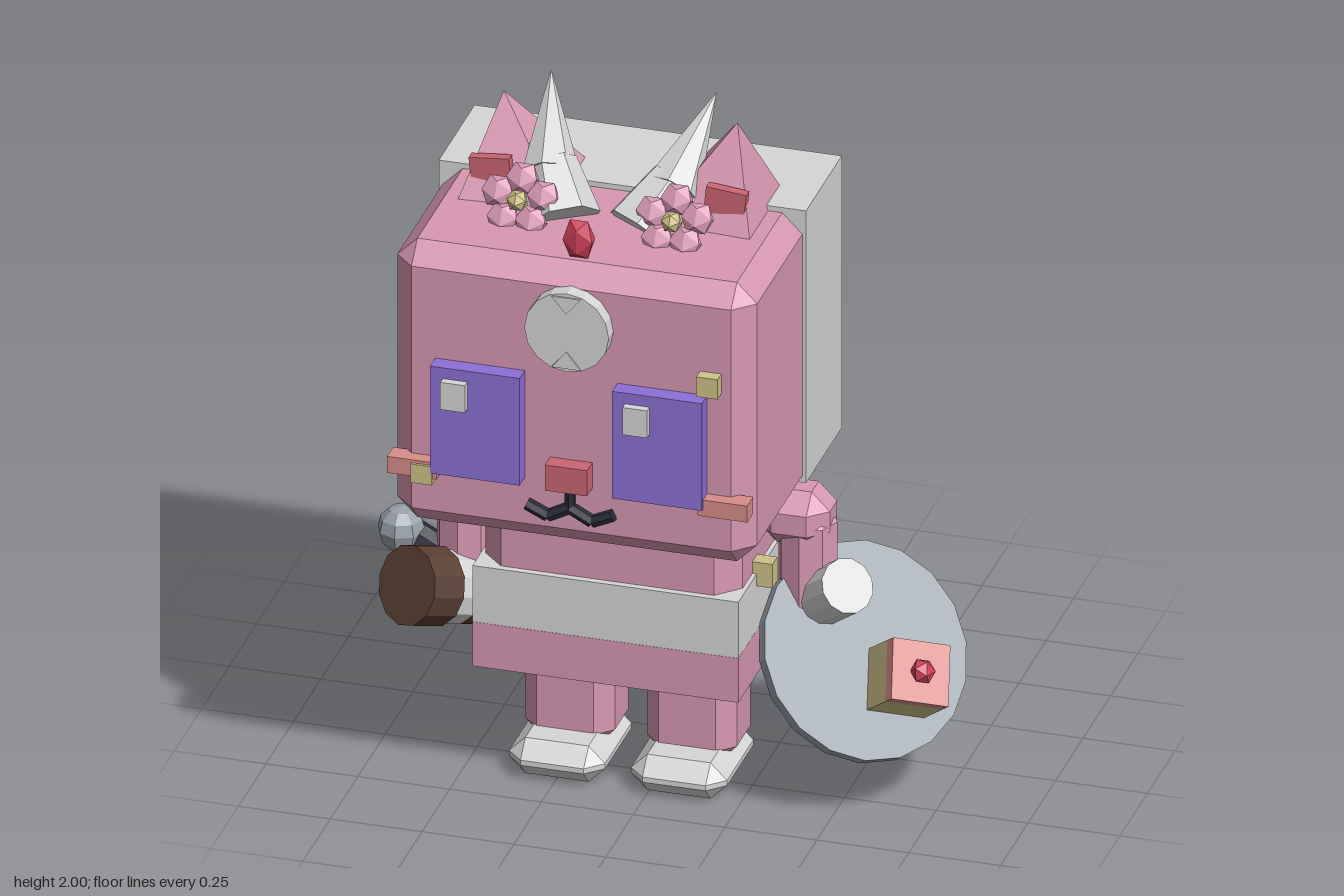
import * as THREE from 'three';
import { ConvexGeometry } from 'three/addons/geometries/ConvexGeometry.js';

const mat = (name, color) => {
  const m = new THREE.MeshStandardMaterial({ color, flatShading: true });
  m.name = name;
  return m;
};
const V = (x, y, z) => new THREE.Vector3(x, y, z);

export function createModel() {
  const pink = mat('pink', 0xd898b3), grey = mat('lightGrey', 0xd6d6d6), purple = mat('purple', 0x8d70d6);
  const salmon = mat('salmon', 0xd88e8a), red = mat('red', 0xce4058), yellow = mat('yellow', 0xcfc288);
  const steel = mat('steel', 0x98a0aa), black = mat('black', 0x2a2b3a), brown = mat('brown', 0x5a4034);
  const rose = mat('rose', 0xcc6672);

  const model = new THREE.Group();
  model.name = 'hornedCatFigure';
  // all parts are laid out around the body's own middle plane
  const root = new THREE.Group();
  root.name = 'figure';
  root.position.x = -0.085;
  model.add(root);

  const add = (name, geo, m, p = [0, 0, 0], parent = root) => {
    const mesh = new THREE.Mesh(geo, m);
    mesh.name = name;
    mesh.position.set(...p);
    parent.add(mesh);
    return mesh;
  };
  const box = (name, m, p, s, parent) => add(name, new THREE.BoxGeometry(...s), m, p, parent);

  // box with every edge cut at an angle
  const chamfer = (name, m, p, s, c, parent) => {
    const [x, y, z] = s.map(v => v / 2), pts = [];
    for (const i of [-1, 1]) for (const j of [-1, 1]) for (const k of [-1, 1])
      pts.push(V(i * x, j * (y - c), k * (z - c)), V(i * (x - c), j * y, k * (z - c)), V(i * (x - c), j * (y - c), k * z));
    return add(name, new ConvexGeometry(pts), m, p, parent);
  };

  // aligns a y-axis geometry from a to b
  const span = (name, make, m, a, b) => {
    const A = V(...a), B = V(...b), d = B.clone().sub(A);
    const mesh = add(name, make(d.length()), m);
    mesh.position.copy(A).add(B).multiplyScalar(0.5);
    mesh.quaternion.setFromUnitVectors(V(0, 1, 0), d.normalize());
    return mesh;
  };
  const rod = (r0, r1, n) => len => new THREE.CylinderGeometry(r1, r0, len, n);
  const bead = (r, c, n = 8) => len => {
    const h = len / 2;
    return new THREE.LatheGeometry([[0, -h], [r - c, -h], [r, c - h], [r, h - c], [r - c, h], [0, h]]
      .map(p => new THREE.Vector2(...p)), n);
  };
  const gem = (name, m, p, s, parent) => {
    const mesh = add(name, new THREE.IcosahedronGeometry(1, 0), m, p, parent);
    mesh.scale.set(...s);
    return mesh;
  };

  // head and hood block
  chamfer('head', pink, [0, 1.32, 0.395], [0.98, 0.82, 0.77], 0.055);
  box('hairBlock', grey, [0, 1.345, 0.152], [1.0, 0.8, 0.325]);

  // torso and two-tone skirt
  chamfer('torso', pink, [0, 0.74, 0.18], [0.7, 0.67, 0.54], 0.06);
  box('skirtBand', grey, [0, 0.568, 0.183], [0.724, 0.165, 0.572]);
  box('skirtHem', pink, [0, 0.42, 0.183], [0.724, 0.13, 0.572]);
  box('backStrip', grey, [0, 0.82, -0.1], [0.05, 0.54, 0.025]);

  // crystal row along the back
  for (let i = 0; i < 5; i++)
    gem('backCrystal', i % 2 ? salmon : pink, [0, 1.07 - i * 0.111, -0.185], [0.026, 0.055, 0.077]);

  // tail of linked segments with a pale tip
  const tail = [[0, 0.5, -0.07], [0, 0.44, -0.31], [0, 0.495, -0.545], [0.02, 0.685, -0.712], [0.06, 0.885, -0.745], [0.09, 1.145, -0.72]];
  [0.13, 0.128, 0.122, 0.112, 0.108].forEach((r, i) =>
    span(i === 4 ? 'tailTip' : 'tailSegment', bead(r, i === 4 ? 0.045 : 0.03), i === 4 ? grey : pink, tail[i], tail[i + 1]));

  // paired parts
  for (const s of [-1, 1]) {
    chamfer('leg', pink, [s * 0.166, 0.24, 0.175], [0.245, 0.37, 0.215], 0.045);
    chamfer('foot', grey, [s * 0.166, 0.0525, 0.235], [0.262, 0.105, 0.33], 0.045);
    chamfer('shoulder', pink, [s * 0.437, 0.785, 0.18], [0.195, 0.16, 0.165], 0.05);
    span('arm', bead(0.08, 0.03), pink, [s * 0.465, 0.46, 0.18], [s * 0.465, 0.8, 0.18]);
    add('hand', new THREE.IcosahedronGeometry(0.075, 1), grey, [s * 0.46, 0.46, 0.18]);
    box('backBuckle', yellow, [s * 0.37, 0.852, -0.07], [0.078, 0.075, 0.075]);
    box('sideBuckle', yellow, [s * 0.375, 0.885, 0.087], [0.06, 0.05, 0.08]);

    // face
    box('eye', purple, [s * 0.248, 1.257, 0.803], [0.244, 0.315, 0.05]);
    box('eyeHighlight', grey, [s * 0.248 - 0.054, 1.343, 0.838], [0.067, 0.08, 0.024]);
    box('cheek', salmon, [s * 0.423, 1.102, 0.79], [0.135, 0.048, 0.055]);
    span('mouthCurve', rod(0.017, 0.017, 6), black, [0, 1.035, 0.79], [s * 0.06, 1.003, 0.79]);
    span('mouthCorner', rod(0.017, 0.017, 6), black, [s * 0.06, 1.003, 0.79], [s * 0.118, 1.03, 0.79]);

    // pyramid ear with coloured inner plate
    const ear = [[0.4, 1.72, 0.18], [0.12, 1.72, 0.175], [0.12, 1.72, 0.47], [0.4, 1.72, 0.49], [0.318, 1.985, 0.33]];
    add('ear', new ConvexGeometry(ear.map(p => V(s * p[0], p[1], p[2]))), pink);
    box('innerEar', rose, [s * 0.318, 1.79, 0.437], [0.11, 0.11, 0.028]).rotation.z = -s * 0.1;

    // horn: thick root and a long spike sweeping back
    span('hornRoot', rod(0.1, 0.07, 7), grey, [s * 0.105, 1.72, 0.5], [s * 0.17, 1.83, 0.4]);
    span('hornSpike', rod(0.078, 0.001, 7), grey, [s * 0.165, 1.81, 0.42], [s * 0.225, 2.0, 0.21]);

    // flower
    const flower = new THREE.Group();
    flower.name = 'flower';
    flower.position.set(s * 0.21, 1.785, 0.548);
    flower.rotation.x = -0.5;
    root.add(flower);
    for (let i = 0; i < 5; i++) {
      const a = Math.PI / 2 + i * Math.PI * 0.4;
      gem('petal', pink, [Math.cos(a) * 0.065, Math.sin(a) * 0.06, 0], [0.048, 0.046, 0.026], flower);
    }
    gem('flowerCentre', yellow, [0, 0, 0.025], [0.03, 0.03, 0.025], flower);
  }

  // face details on the middle line
  box('nose', rose, [0, 1.133, 0.803], [0.115, 0.075, 0.05]);
  span('mouthStem', rod(0.015, 0.015, 6), black, [0, 1.03, 0.79], [0, 1.1, 0.79]);
  add('foreheadDisc', new THREE.CylinderGeometry(0.115, 0.115, 0.045, 16), grey, [0, 1.565, 0.8]).rotation.x = Math.PI / 2;
  for (const s of [-1, 1]) {
    const notch = [[-0.04, 0.104], [0.04, 0.104], [0, 0.055]];
    add('discNotch', new ConvexGeometry(notch.flatMap(([x, y]) => [V(x, s * y, 0), V(x, s * y, 0.006)])), grey, [0, 1.565, 0.821]);
  }
  gem('headGem', red, [0, 1.785, 0.71], [0.047, 0.064, 0.029]);
  box('foreheadPin', yellow, [0.38, 1.455, 0.795], [0.058, 0.058, 0.04]);
  box('cheekPin', yellow, [-0.395, 1.09, 0.8], [0.058, 0.055, 0.05]);
  box('hipPin', yellow, [0.375, 0.65, 0.28], [0.06, 0.07, 0.045]);

  // round shield facing up, forward and outward
  const shield = new THREE.Group();
  shield.name = 'shield';
  shield.position.set(0.62, 0.41, 0.2);
  shield.quaternion.setFromRotationMatrix(new THREE.Matrix4().lookAt(V(0.61, 0.58, 0.54), V(0, 0, 0), V(0, 1, 0)));
  root.add(shield);
  const disc = (name, m, r, h, n, p) => {
    add(name, new THREE.CylinderGeometry(r, r, h, n), m, p, shield).rotation.x = Math.PI / 2;
  };
  disc('shieldPlate', steel, 0.295, 0.035, 18, [0, 0, 0]);
  disc('shieldBoss', grey, 0.075, 0.16, 12, [-0.068, 0.165, 0.08]);
  const crest = new THREE.Group();
  crest.name = 'shieldCrest';
  crest.position.set(0.057, -0.105, 0);
  crest.rotation.z = -0.38;
  shield.add(crest);
  box('crestBlock', yellow, [0, 0, 0.07], [0.165, 0.165, 0.12], crest);
  box('crestPlate', salmon, [0, 0, 0.148], [0.165, 0.165, 0.036], crest);
  gem('crestGem', red, [0, 0, 0.178], [0.035, 0.035, 0.03], crest);

  // mallet in the other hand
  span('malletFace', rod(0.108, 0.108, 12), brown, [-0.51, 0.485, 0.3], [-0.565, 0.52, 0.385]);
  span('malletBand', rod(0.1, 0.1, 12), grey, [-0.475, 0.46, 0.245], [-0.51, 0.485, 0.3]);
  span('malletBack', rod(0.1, 0.1, 12), brown, [-0.455, 0.447, 0.215], [-0.475, 0.46, 0.245]);
  span('malletHandle', rod(0.045, 0.045, 8), black, [-0.45, 0.46, 0.16], [-0.635, 0.575, 0.18]);
  add('malletPommel', new THREE.SphereGeometry(0.065, 8, 6), steel, [-0.64, 0.578, 0.185]);

  return model;
}
